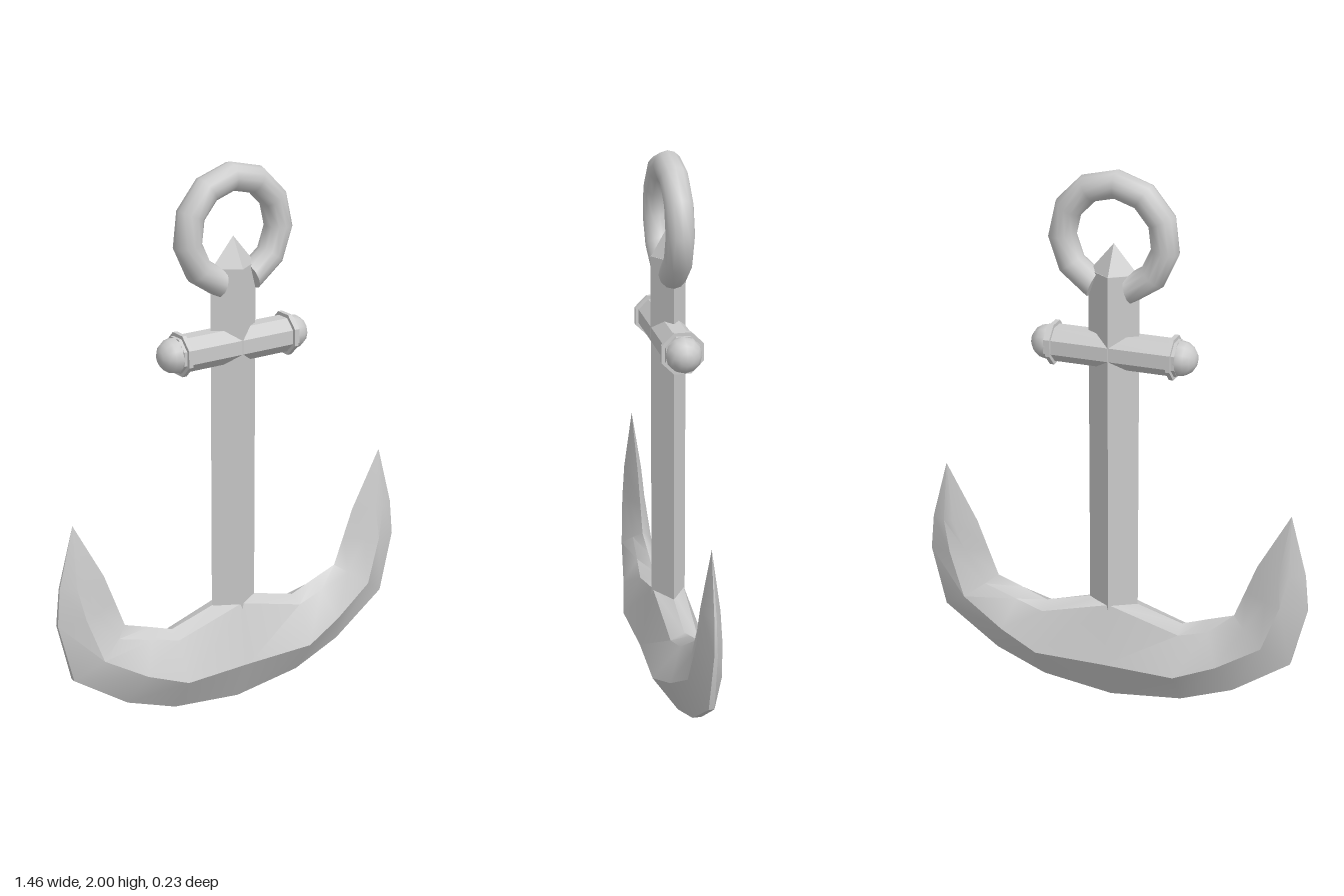
import * as THREE from 'three';
import { toCreasedNormals } from 'three/addons/utils/BufferGeometryUtils.js';

const material = new THREE.MeshStandardMaterial({ color: 0xcccccc });
const flat = new THREE.MeshStandardMaterial({ color: 0xcccccc, flatShading: true });

function add(parent, name, geometry, mat = material) {
  const mesh = new THREE.Mesh(geometry, mat);
  mesh.name = name;
  parent.add(mesh);
  return mesh;
}

// Curved arms: seven-sided sections lofted from one tip to the other
function armsGeometry() {
  // inner x, y, outer x, y, shoulder at, shoulder width, belly at, belly width, outer width
  const half = [
    [0, 0.41, 0, 0.003, 0.05, 0.057, 0.6, 0.107, 0.03],
    [0.265, 0.335, 0.27, 0.033, 0.08, 0.05, 0.55, 0.116, 0.024],
    [0.36, 0.37, 0.465, 0.105, 0.12, 0.04, 0.55, 0.085, 0.016],
    [0.46, 0.405, 0.675, 0.25, 0.2, 0.03, 0.55, 0.06, 0.01],
    [0.5, 0.51, 0.73, 0.475, 0.35, 0.03, 0.6, 0.044, 0.006],
    [0.54, 0.615, 0.717, 0.61, 0.5, 0.03, 0.7, 0.03, 0.004],
    [0.658, 0.832, 0.658, 0.832, 0.5, 0, 0.6, 0, 0],
  ];
  const mirrored = half.slice(1).reverse().map(([ix, iy, ox, ...rest]) => [-ix, iy, -ox, ...rest]);
  const stations = [...mirrored, ...half];
  const positions = [], index = [], n = 7;
  stations.forEach(([ix, iy, ox, oy, st, sw, bt, bw, ow], s) => {
    const section = [[0, 0], [st, sw], [bt, bw], [1, ow], [1, -ow], [bt, -bw], [st, -sw]];
    section.forEach(([t, z], k) => {
      positions.push(ix + (ox - ix) * t, iy + (oy - iy) * t, z);
      if (s === stations.length - 1) return;
      const a = s * n + k, d = s * n + (k + 1) % n;
      index.push(a, d, a + n, a + n, d, d + n);
    });
  });
  const geometry = new THREE.BufferGeometry();
  geometry.setAttribute('position', new THREE.Float32BufferAttribute(positions, 3));
  geometry.setIndex(index);
  return toCreasedNormals(geometry, 0.6);
}

export function createModel() {
  const anchor = new THREE.Group();
  anchor.name = 'anchor';

  add(anchor, 'arms', armsGeometry());

  // Diamond-section shank with a pointed top
  const shank = add(anchor, 'shank', new THREE.CylinderGeometry(1, 1, 1.345, 4), flat);
  shank.scale.set(0.093, 1, 0.062);
  shank.position.y = 0.9725;
  const point = add(anchor, 'shankPoint', new THREE.ConeGeometry(1, 0.105, 4), flat);
  point.scale.set(0.088, 1, 0.06);
  point.position.y = 1.6975;

  // Crossbar with collars and round ends
  const stock = new THREE.Group();
  stock.name = 'crossbar';
  stock.position.y = 1.365;
  anchor.add(stock);
  const bar = add(stock, 'bar', new THREE.CylinderGeometry(0.066, 0.066, 0.48, 8), flat);
  bar.rotation.set(Math.PI / 8, 0, Math.PI / 2);
  for (const side of [-1, 1]) {
    const collar = add(stock, 'collar', new THREE.CylinderGeometry(0.079, 0.079, 0.016, 8), flat);
    collar.rotation.set(Math.PI / 8, 0, Math.PI / 2);
    collar.position.x = side * 0.22;
    const end = add(stock, 'roundEnd', new THREE.SphereGeometry(0.063, 12, 8));
    end.rotation.z = Math.PI / 2;
    end.position.x = side * 0.242;
  }

  // Open ring whose ends meet the shank
  const ring = new THREE.Group();
  ring.name = 'ring';
  ring.position.y = 1.77;
  anchor.add(ring);
  const radius = 0.187, tube = 0.05;
  const start = THREE.MathUtils.degToRad(-67), arc = THREE.MathUtils.degToRad(320);
  const hoop = add(ring, 'hoop', new THREE.TorusGeometry(radius, tube, 12, 10, arc));
  hoop.rotation.z = start;
  [start, start + arc].forEach((angle, i) => {
    const cap = add(ring, 'ringEnd', new THREE.CircleGeometry(tube, 12).rotateX(i ? -Math.PI / 2 : Math.PI / 2));
    cap.position.set(Math.cos(angle) * radius, Math.sin(angle) * radius, 0);
    cap.rotation.z = angle;
  });

  return anchor;
}
